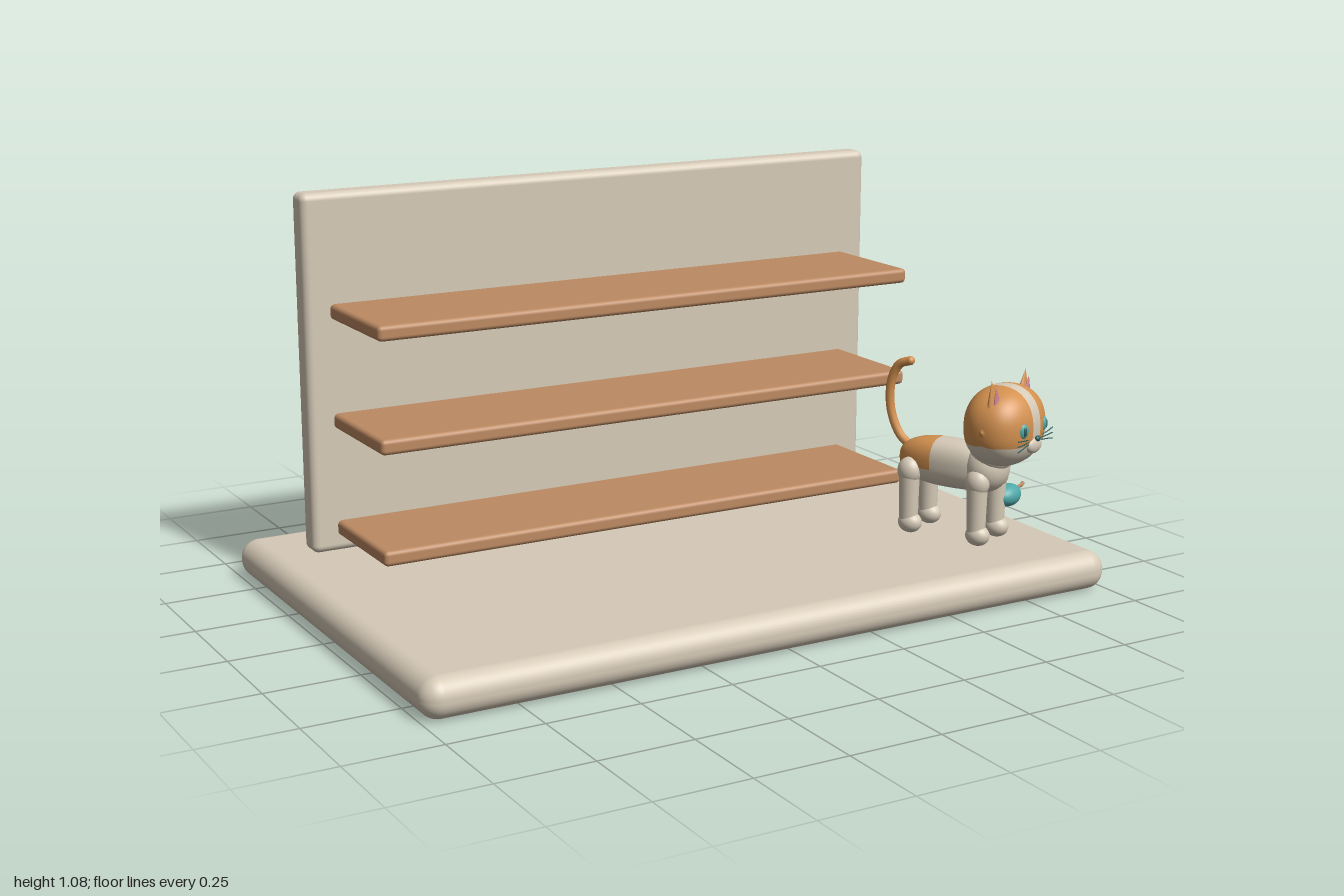
import * as THREE from 'three';
import { RoundedBoxGeometry } from 'three/addons/geometries/RoundedBoxGeometry.js';
import { ParametricGeometry } from 'three/addons/geometries/ParametricGeometry.js';

const material = (name, color) => {
  const m = new THREE.MeshStandardMaterial({ color });
  m.name = name;
  return m;
};

function addMesh(parent, name, geometry, mat, x = 0, y = 0, z = 0) {
  const mesh = new THREE.Mesh(geometry, mat);
  mesh.name = name;
  mesh.position.set(x, y, z);
  parent.add(mesh);
  return mesh;
}

const ellipsoid = (a, b, c) => new THREE.SphereGeometry(1, 28, 18).scale(a, b, c);

const tube = (points, radius, segments = 24) => new THREE.TubeGeometry(
  new THREE.CatmullRomCurve3(points.map((p) => new THREE.Vector3(...p))), segments, radius, 10);

// Patch of a squarish ellipsoid: x from x0 to x1, above or below the height split
function patch([a, b, c, n], x0, x1, split, upper) {
  const power = (v) => Math.sign(v) * Math.pow(Math.abs(v), 2 / n);
  const p0 = Math.asin(x0 / a), p1 = Math.asin(x1 / a);
  return new ParametricGeometry((u, v, target) => {
    const x = a * Math.sin(p0 + (p1 - p0) * u);
    const r = Math.pow(Math.max(1e-6, 1 - Math.pow(Math.abs(x / a), n)), 1 / n);
    const s = THREE.MathUtils.clamp(split / (b * r), -1, 1);
    const t0 = Math.asin(Math.sign(s) * Math.pow(Math.abs(s), n / 2));
    const t = upper ? t0 + (Math.PI - 2 * t0) * v
      : Math.PI - t0 + (Math.PI + 2 * t0) * v;
    target.set(x, b * r * power(Math.sin(t)), c * r * power(Math.cos(t)));
  }, 16, 32);
}

export function createModel() {
  const model = new THREE.Group();
  model.name = 'shelfDisplay';
  const cream = material('cream', 0xd6cab7);
  const wood = material('wood', 0xbc8a62);
  const orange = material('orange fur', 0xd4914f);
  const teal = material('teal', 0x4fa9a8);
  const pink = material('pink', 0xc97f92);
  const dark = material('dark teal', 0x2b5f5d);

  // Base, back panel and three shelves
  addMesh(model, 'base', new RoundedBoxGeometry(2, 0.106, 1.29, 6, 0.05), cream, 0, 0.053, 0);
  addMesh(model, 'backPanel', new RoundedBoxGeometry(1.75, 0.97, 0.075, 4, 0.02), cream, 0, 0.595, -0.413);
  for (const y of [0.175, 0.47, 0.765]) {
    addMesh(model, 'shelf', new RoundedBoxGeometry(1.61, 0.041, 0.36, 3, 0.012), wood, 0, y, -0.23);
  }

  // Cat, standing at an angle on the base
  const cat = new THREE.Group();
  cat.name = 'cat';
  cat.position.set(0.71, 0.11, 0.32);
  cat.rotation.y = 0.42;
  model.add(cat);

  // Body with an orange saddle over the rump
  const bodySize = [0.155, 0.067, 0.063, 2.5];
  const bodyParts = [
    ['rumpPatch', -0.155, -0.035, -0.015, true, orange],
    ['rumpUnderside', -0.155, -0.035, -0.015, false, cream],
    ['bodyTop', -0.035, 0.155, -0.015, true, cream],
    ['bodyUnderside', -0.035, 0.155, -0.015, false, cream],
  ];
  for (const [name, x0, x1, split, upper, mat] of bodyParts) {
    addMesh(cat, name, patch(bodySize, x0, x1, split, upper).rotateY(-Math.PI / 2), mat, 0, 0.208, -0.005);
  }
  addMesh(cat, 'chest', ellipsoid(0.068, 0.07, 0.06), cream, 0, 0.215, 0.105);
  addMesh(cat, 'neck', ellipsoid(0.065, 0.06, 0.06), cream, 0, 0.26, 0.12);

  // Legs, paws and haunches
  for (const side of [-1, 1]) {
    for (const z of [0.105, -0.105]) {
      const x = side * 0.053;
      addMesh(cat, 'leg', new THREE.CylinderGeometry(0.029, 0.025, 0.16, 20), cream, x, 0.11, z);
      addMesh(cat, 'paw', ellipsoid(0.029, 0.029, 0.034), cream, x, 0.034, z + 0.005);
      addMesh(cat, 'haunch', ellipsoid(0.031, 0.038, 0.034), cream, x, 0.18, z);
    }
  }

  // Curved tail with rounded tip
  const tailPath = [[0, 0.235, -0.135], [0, 0.262, -0.17], [0, 0.33, -0.2],
    [0, 0.41, -0.2], [0, 0.46, -0.175], [0, 0.473, -0.142]];
  addMesh(cat, 'tail', tube(tailPath, 0.0125, 32), orange);
  addMesh(cat, 'tailTip', ellipsoid(0.0125, 0.0125, 0.0125), orange, 0, 0.473, -0.142);

  // Head: orange cap, cream stripe and cream lower face
  const head = new THREE.Group();
  head.name = 'head';
  head.position.set(0, 0.339, 0.152);
  cat.add(head);
  const headSize = [0.128, 0.11, 0.097, 2.25];
  const headParts = [
    ['capRight', -0.128, -0.02, -0.04, true, orange],
    ['stripe', -0.02, 0.02, -0.04, true, cream],
    ['capLeft', 0.02, 0.128, -0.04, true, orange],
    ['lowerFace', -0.128, 0.128, -0.04, false, cream],
  ];
  for (const [name, x0, x1, split, upper, mat] of headParts) {
    addMesh(head, name, patch(headSize, x0, x1, split, upper), mat);
  }

  // Ears, eyes and whiskers on both sides
  for (const side of [-1, 1]) {
    const ear = new THREE.Group();
    ear.name = 'ear';
    ear.position.set(side * 0.086, 0.087, 0.008);
    ear.rotation.z = -side * 0.18;
    head.add(ear);
    addMesh(ear, 'outerEar', new THREE.ConeGeometry(0.038, 0.1, 20).scale(1, 1, 0.5), orange);
    addMesh(ear, 'innerEar', new THREE.ConeGeometry(0.027, 0.078, 20).scale(1, 1, 0.4), pink, 0, -0.005, 0.012);

    const eye = new THREE.Group();
    eye.name = 'eye';
    eye.position.set(side * 0.057, 0.004, 0.087);
    eye.rotation.y = side * 0.4;
    head.add(eye);
    addMesh(eye, 'iris', ellipsoid(0.016, 0.02, 0.008), teal);
    addMesh(eye, 'pupil', ellipsoid(0.006, 0.013, 0.004), dark, 0, 0, 0.006);

    for (const k of [-1, 0, 1]) {
      addMesh(head, 'whisker', tube([[side * 0.03, -0.03 + k * 0.006, 0.09],
        [side * 0.065, -0.029 + k * 0.01, 0.094], [side * 0.1, -0.03 + k * 0.015, 0.092]], 0.0015, 6), dark);
    }
  }
  addMesh(head, 'muzzle', ellipsoid(0.036, 0.024, 0.016), cream, 0, -0.042, 0.088);
  addMesh(head, 'nose', ellipsoid(0.011, 0.008, 0.007), dark, 0, -0.024, 0.1);

  // Toy beside the front leg, with a thin tail
  addMesh(cat, 'toyBody', ellipsoid(0.05, 0.031, 0.033), teal, 0.095, 0.114, 0.119);
  addMesh(cat, 'toyTail', tube([[0.135, 0.116, 0.119], [0.16, 0.122, 0.117],
    [0.18, 0.121, 0.116], [0.192, 0.126, 0.115]], 0.005, 12), wood);

  return model;
}
